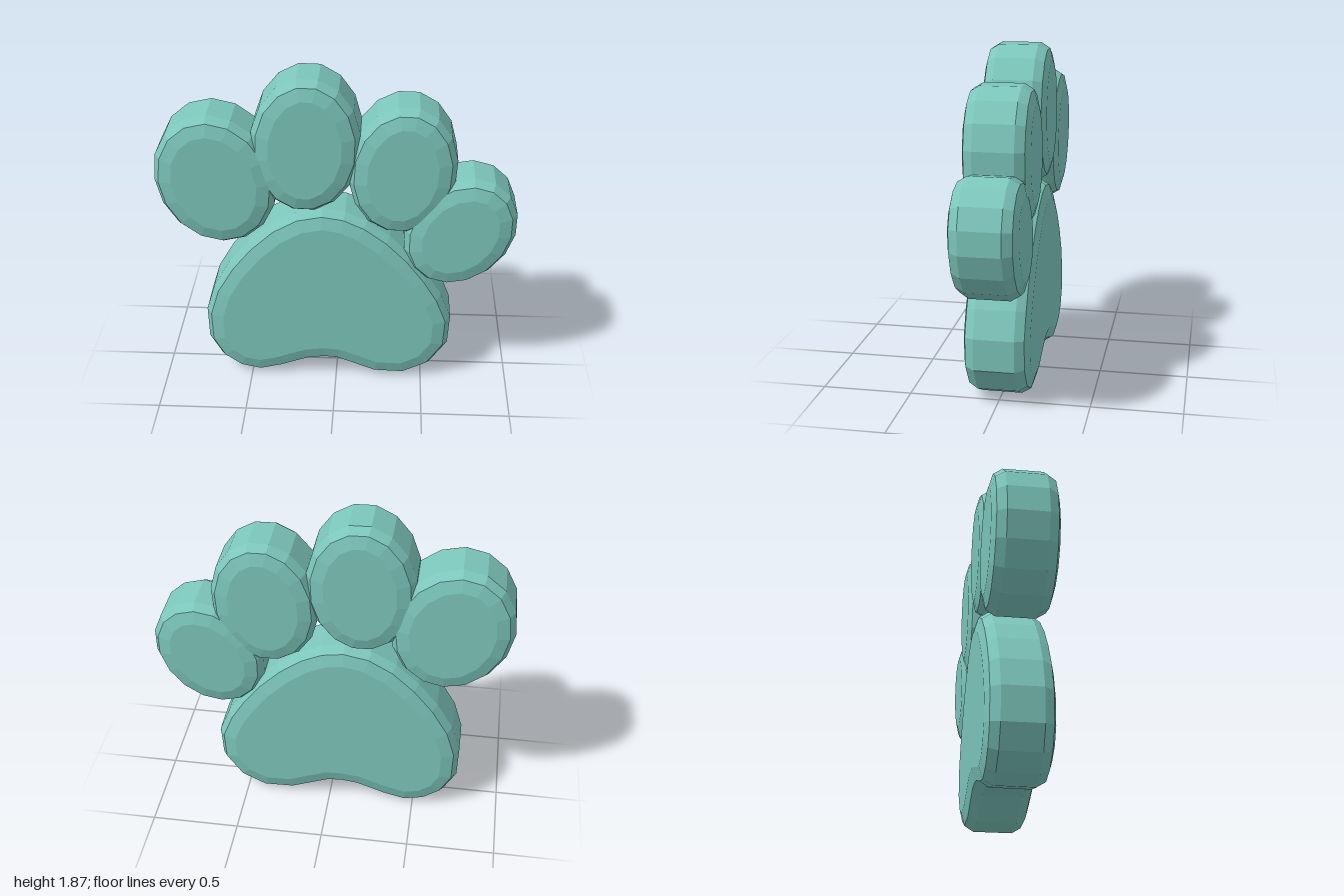
import * as THREE from 'three';

const teal = new THREE.MeshStandardMaterial({ color: 0x7cc6bb, flatShading: true });
teal.name = 'teal';

// Cross-sections from back to front: [z, inset from the outline]
const RINGS = [[-0.18, 0.1], [-0.16, 0.03], [-0.11, 0], [0.11, 0], [0.16, 0.03], [0.18, 0.1]];

// Move a counter-clockwise outline inward by a constant distance
function insetOutline(points, d) {
  const n = points.length;
  const inward = (a, b) => new THREE.Vector2(a.y - b.y, b.x - a.x).normalize();
  return points.map((p, i) => {
    const n1 = inward(points[(i + n - 1) % n], p);
    const n2 = inward(p, points[(i + 1) % n]);
    const miter = n1.clone().add(n2);
    return p.clone().addScaledVector(miter, d / (1 + n1.dot(n2)));
  });
}

// Thick slab with rounded rims on both faces
function cushion(name, outline) {
  const n = outline.length;
  const positions = [], index = [];
  for (const [z, d] of RINGS) {
    for (const p of insetOutline(outline, d)) positions.push(p.x, p.y, z);
  }
  for (let r = 0; r < RINGS.length - 1; r++) {
    for (let i = 0; i < n; i++) {
      const j = (i + 1) % n;
      const a = r * n + i, b = r * n + j;
      index.push(a, b, b + n, a, b + n, a + n);
    }
  }
  const front = (RINGS.length - 1) * n;
  const capOutline = insetOutline(outline, RINGS[0][1]);
  for (const [a, b, c] of THREE.ShapeUtils.triangulateShape(capOutline, [])) {
    index.push(front + a, front + b, front + c, a, c, b);
  }
  const geometry = new THREE.BufferGeometry();
  geometry.setAttribute('position', new THREE.Float32BufferAttribute(positions, 3));
  geometry.setIndex(index);
  const flat = geometry.toNonIndexed();
  flat.computeVertexNormals();
  const mesh = new THREE.Mesh(flat, teal);
  mesh.name = name;
  return mesh;
}

// Sixteen-sided leaning oval: centre, sideways half-axis, upward half-axis
function oval([cx, cy], [ux, uy], [vx, vy]) {
  return Array.from({ length: 16 }, (_, i) => {
    const t = -i * Math.PI / 8;
    const s = Math.sin(t), c = Math.cos(t);
    return new THREE.Vector2(cx + ux * s + vx * c, cy + uy * s + vy * c);
  });
}

// Main pad, counter-clockwise from its top
const PAD = [
  [-0.08, 1.11], [-0.23, 1.08], [-0.37, 1.0], [-0.5, 0.88], [-0.61, 0.745], [-0.705, 0.585],
  [-0.755, 0.42], [-0.75, 0.23], [-0.68, 0.105], [-0.575, 0.03], [-0.45, 0.003], [-0.32, 0.035],
  [-0.16, 0.093], [-0.07, 0.105], [0, 0.1], [0.08, 0.07], [0.22, 0.015], [0.4, 0.01],
  [0.55, 0.085], [0.65, 0.23], [0.66, 0.41], [0.6, 0.56], [0.52, 0.69], [0.42, 0.82],
  [0.3, 0.94], [0.17, 1.035], [0.05, 1.09],
];

const TOES = [
  ['outerRightToe', [-0.665, 1.273], [0.335, 0], [-0.03, 0.387]],
  ['innerRightToe', [-0.167, 1.487], [0.298, 0.07], [-0.045, 0.387]],
  ['innerLeftToe', [0.36, 1.35], [0.285, -0.08], [0.08, 0.37]],
  ['outerLeftToe', [0.687, 0.98], [0.307, -0.01], [0.065, 0.335]],
];

export function createModel() {
  const group = new THREE.Group();
  group.name = 'paw';
  group.add(cushion('mainPad', PAD.map(([x, y]) => new THREE.Vector2(x, y))));
  for (const [name, centre, side, up] of TOES) group.add(cushion(name, oval(centre, side, up)));
  return group;
}
